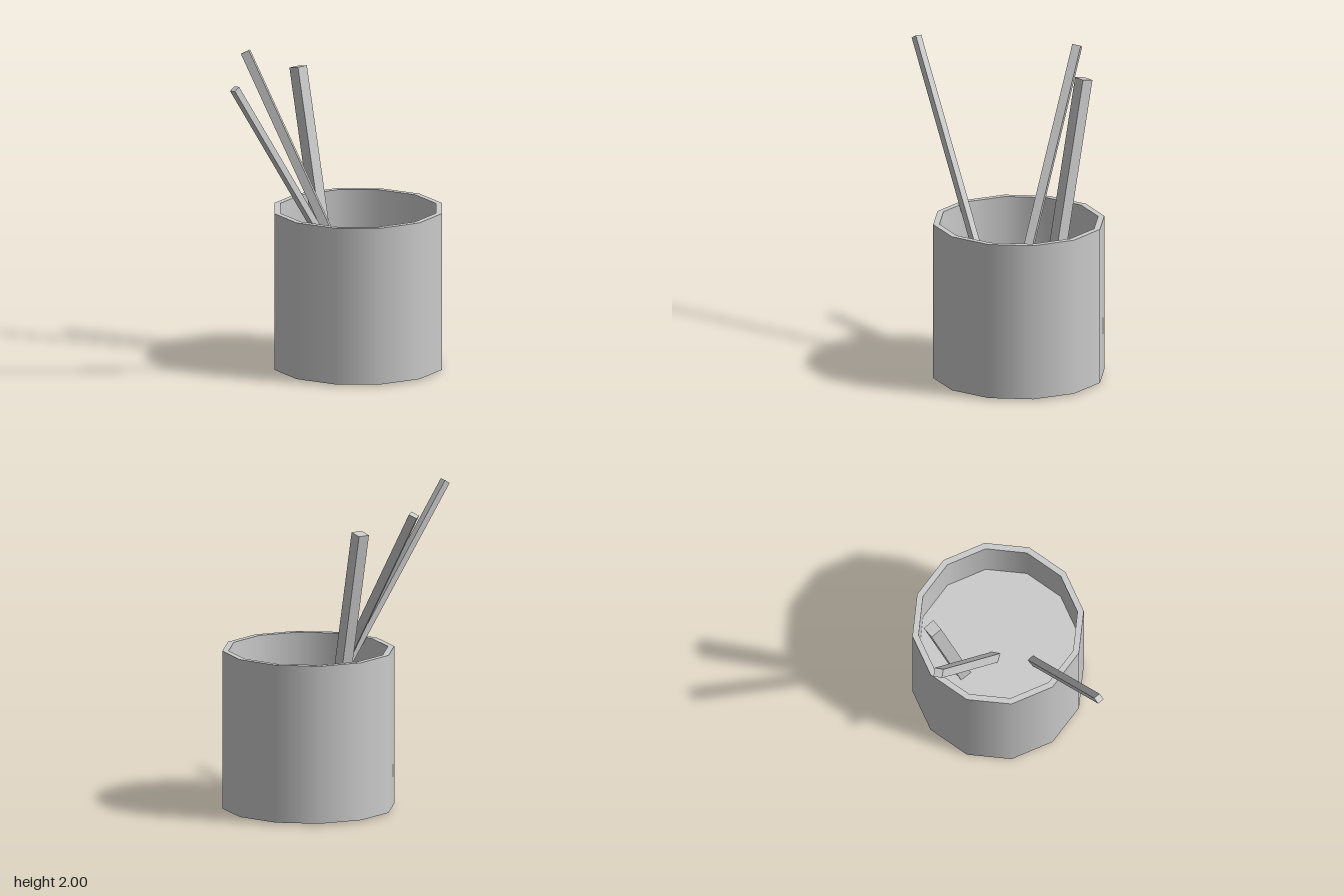
import * as THREE from 'three';

const material = new THREE.MeshStandardMaterial({ color: 0xcccccc });

// One revolved strip of the cup; separate strips keep the rim edges sharp
function ring(name, ...profile) {
  const points = profile.map(([r, y]) => new THREE.Vector2(r, y));
  const mesh = new THREE.Mesh(new THREE.LatheGeometry(points, 12), material);
  mesh.name = name;
  return mesh;
}

// Square stick between two end centres; side sets how it is turned about its axis
function stick(name, bottom, top, size, side) {
  const a = new THREE.Vector3(...bottom);
  const b = new THREE.Vector3(...top);
  const axis = b.clone().sub(a);
  const length = axis.length();
  axis.normalize();
  const x = new THREE.Vector3(...side);
  x.addScaledVector(axis, -x.dot(axis)).normalize();
  const z = new THREE.Vector3().crossVectors(x, axis);
  const mesh = new THREE.Mesh(new THREE.BoxGeometry(size, length, size), material);
  mesh.quaternion.setFromRotationMatrix(new THREE.Matrix4().makeBasis(x, axis, z));
  mesh.position.copy(a).lerp(b, 0.5);
  mesh.name = name;
  return mesh;
}

export function createModel() {
  const model = new THREE.Group();
  model.name = 'stickHolder';

  // Twelve-sided cup with a raised inner floor
  const R = 0.55, r = 0.51, base = 0.01, floor = 0.65, rim = 1.03;
  const cup = new THREE.Group();
  cup.name = 'cup';
  cup.position.set(0.1, 0, -0.272);
  cup.add(
    ring('cupBase', [0, base], [R, base]),
    ring('outerWall', [R, base], [R, rim]),
    ring('rim', [R, rim], [r, rim]),
    ring('innerWall', [r, rim], [r, floor]),
    ring('innerFloor', [r, floor], [0, floor])
  );
  model.add(cup);

  // Three leaning sticks
  model.add(
    stick('leftLeaningStick', [0.335, 0.015, -0.33], [-0.62, 1.977, 0.018], 0.056, [0.35, 0.22, -0.3]),
    stick('frontLeaningStick', [0.265, 0.05, -0.42], [0.06, 1.987, 0.795], 0.045, [1, 0.1, 0]),
    stick('backStick', [-0.075, 0.05, -0.27], [-0.436, 1.863, -0.27], 0.079, [1, 0, 0])
  );
  return model;
}
